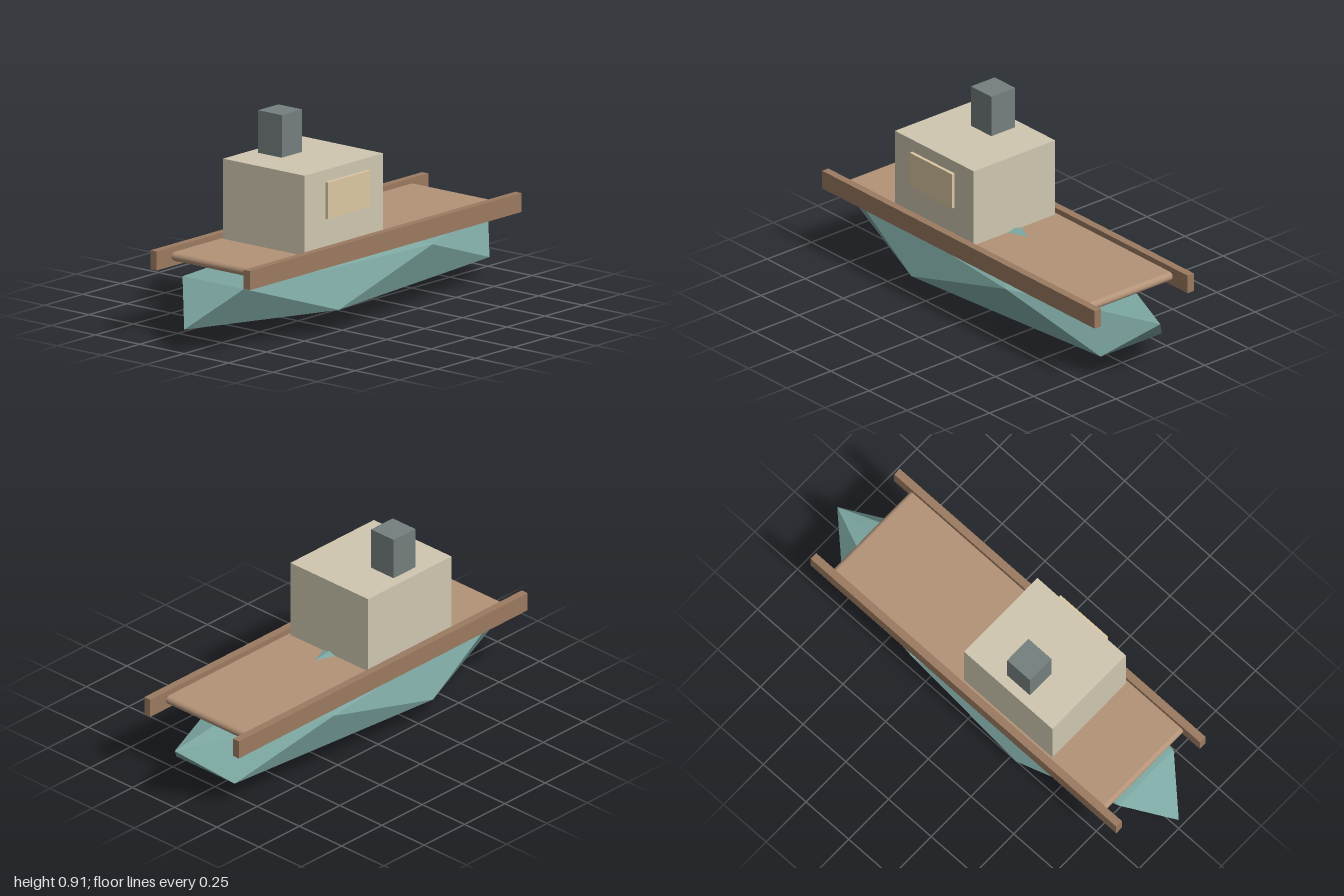
import * as THREE from 'three';
import { ConvexGeometry } from 'three/addons/geometries/ConvexGeometry.js';

const material = (color, flatShading = true) => new THREE.MeshStandardMaterial({ color, flatShading });

function addMesh(parent, name, geometry, mat) {
  const mesh = new THREE.Mesh(geometry, mat);
  mesh.name = name;
  parent.add(mesh);
  return mesh;
}

// Box given by its extents along each axis
function addBox(parent, name, [x0, x1], [y0, y1], [z0, z1], mat) {
  const mesh = addMesh(parent, name, new THREE.BoxGeometry(x1 - x0, y1 - y0, z1 - z0), mat);
  mesh.position.set((x0 + x1) / 2, (y0 + y1) / 2, (z0 + z1) / 2);
  return mesh;
}

// Stretched icosahedron: two poles and two staggered rings of five
function hullGeometry() {
  const radius = 0.191, ringY = radius / Math.sqrt(5);
  const points = [new THREE.Vector3(0, 0, 0), new THREE.Vector3(0, 2 * radius, 0)];
  for (let i = 0; i < 5; i++) {
    const a = (i * 2 * Math.PI) / 5;
    const x = Math.cos(a), z = 0.294 * Math.sin(a);
    points.push(new THREE.Vector3(x, radius + ringY, z), new THREE.Vector3(-x, radius - ringY, z));
  }
  return new ConvexGeometry(points);
}

// Thin plank with round bow and stern edges and softened sides
function deckGeometry() {
  const bevel = 0.005, r = 0.02 - bevel, end = 0.78, width = 0.49;
  const profile = new THREE.Shape();
  profile.moveTo(-end, -r);
  profile.lineTo(end, -r);
  profile.absarc(end, 0, r, -Math.PI / 2, Math.PI / 2);
  profile.lineTo(-end, r);
  profile.absarc(-end, 0, r, Math.PI / 2, Math.PI * 1.5);
  const geometry = new THREE.ExtrudeGeometry(profile, {
    depth: width - 2 * bevel, curveSegments: 10,
    bevelEnabled: true, bevelThickness: bevel, bevelSize: bevel, bevelSegments: 3,
  });
  return geometry.translate(0, 0.348, -width / 2 + bevel);
}

export function createModel() {
  const boat = new THREE.Group();
  boat.name = 'boat';

  addMesh(boat, 'hull', hullGeometry(), material(0x7ca6a1));
  addMesh(boat, 'deck', deckGeometry(), material(0xb39378, false));

  // Side rails
  const wood = material(0x9b7a60);
  for (const [name, side] of [['frontRail', 1], ['backRail', -1]]) {
    const rail = addBox(boat, name, [-0.895, 0.895], [0.306, 0.39], [-0.0175, 0.0175], wood);
    rail.position.z = side * 0.2625;
  }

  // Cabin, its raised window panel and the chimney
  addBox(boat, 'cabin', [-0.475, 0.042], [0.36, 0.722], [-0.23, 0.23], material(0xcfc7b0));
  addBox(boat, 'window', [-0.35, -0.072], [0.51, 0.672], [0.239, 0.254], material(0xddc9a2));
  addBox(boat, 'chimney', [-0.3, -0.166], [0.715, 0.91], [-0.183, -0.049], material(0x757f7e));

  return boat;
}
